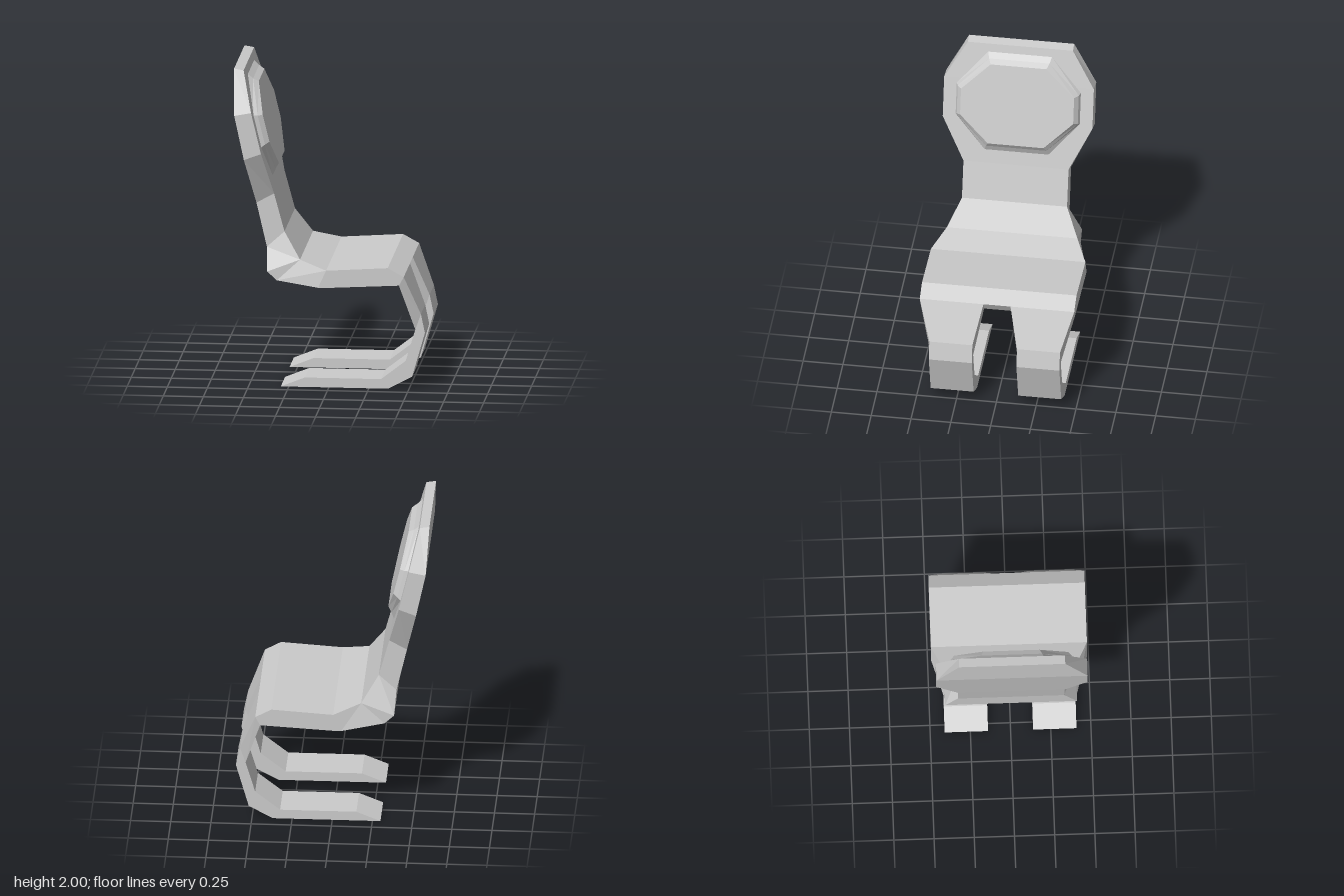
import * as THREE from 'three';

const material = new THREE.MeshStandardMaterial({ color: 0xcccccc, flatShading: true });

// Skin a list of equal-length rings and close both ends
function loft(name, rings) {
  const pos = [];
  const tri = (a, b, c) => pos.push(...a, ...b, ...c);
  const n = rings[0].length;
  for (let i = 0; i < rings.length - 1; i++) {
    for (let j = 0; j < n; j++) {
      const k = (j + 1) % n;
      tri(rings[i][j], rings[i + 1][j], rings[i + 1][k]);
      tri(rings[i][j], rings[i + 1][k], rings[i][k]);
    }
  }
  const first = rings[0], last = rings[rings.length - 1];
  for (let j = 1; j < n - 1; j++) {
    tri(first[0], first[j], first[j + 1]);
    tri(last[0], last[j + 1], last[j]);
  }
  const geometry = new THREE.BufferGeometry();
  geometry.setAttribute('position', new THREE.Float32BufferAttribute(pos, 3));
  geometry.computeVertexNormals();
  const mesh = new THREE.Mesh(geometry, material);
  mesh.name = name;
  return mesh;
}

// Four-cornered section: outer point, inner point, z extent
const section = (ox, oy, ix, iy, z1, z0) =>
  [[ox, oy, z1], [ox, oy, z0], [ix, iy, z0], [ix, iy, z1]];

export function createModel() {
  const chair = new THREE.Group();
  chair.name = 'chair';

  // Backrest and seat: front/top point, back/bottom point, half width
  const shell = [
    [-0.54, 1.99, -0.60, 2.00, 0.33],
    [-0.48, 1.75, -0.585, 1.73, 0.47],
    [-0.418, 1.49, -0.525, 1.45, 0.47],
    [-0.35, 1.21, -0.46, 1.15, 0.33],
    [-0.285, 0.97, -0.395, 0.87, 0.33],
    [-0.18, 0.81, -0.385, 0.73, 0.41],
    [-0.18, 0.81, -0.325, 0.675, 0.41],
    [-0.01, 0.76, -0.06, 0.65, 0.485],
    [0.375, 0.785, -0.01, 0.65, 0.485],
    [0.475, 0.73, 0.445, 0.675, 0.485],
  ];
  chair.add(loft('seatShell', shell.map(([a, b, c, d, w]) => section(a, b, c, d, w, -w))));

  // Curved legs ending in wedge-tipped runners: outer point, inner point, z range
  const leg = [
    [0.475, 0.73, 0.445, 0.675, 0.485, 0.085],
    [0.575, 0.48, 0.54, 0.38, 0.41, 0.14],
    [0.60, 0.36, 0.54, 0.38, 0.41, 0.14],
    [0.52, 0.08, 0.48, 0.18, 0.41, 0.14],
    [0.37, 0, 0.325, 0.06, 0.41, 0.14],
    [-0.30, 0, -0.15, 0.06, 0.41, 0.14],
  ];
  chair.add(loft('leftLeg', leg.map((s) => section(...s))));
  chair.add(loft('rightLeg', leg.map(([a, b, c, d, z1, z0]) => section(a, b, c, d, -z0, -z1))));

  // Raised octagonal back pad: lift, half length, corner length, half width, corner width
  const up = [-0.2366, 0.9715];
  const pad = [
    [-0.01, 0.33, 0.105, 0.39, 0.20],
    [0, 0.33, 0.105, 0.39, 0.20],
    [0.025, 0.295, 0.095, 0.38, 0.19],
    [0.053, 0.267, 0.0875, 0.355, 0.175],
  ];
  chair.add(loft('backPad', pad.map(([h, L, l, W, w]) =>
    [[L, w], [L, -w], [l, -W], [-l, -W], [-L, -w], [-L, w], [-l, W], [l, W]].map(([v, z]) =>
      [-0.449 + up[0] * v + up[1] * h, 1.617 + up[1] * v - up[0] * h, z]))));

  return chair;
}
